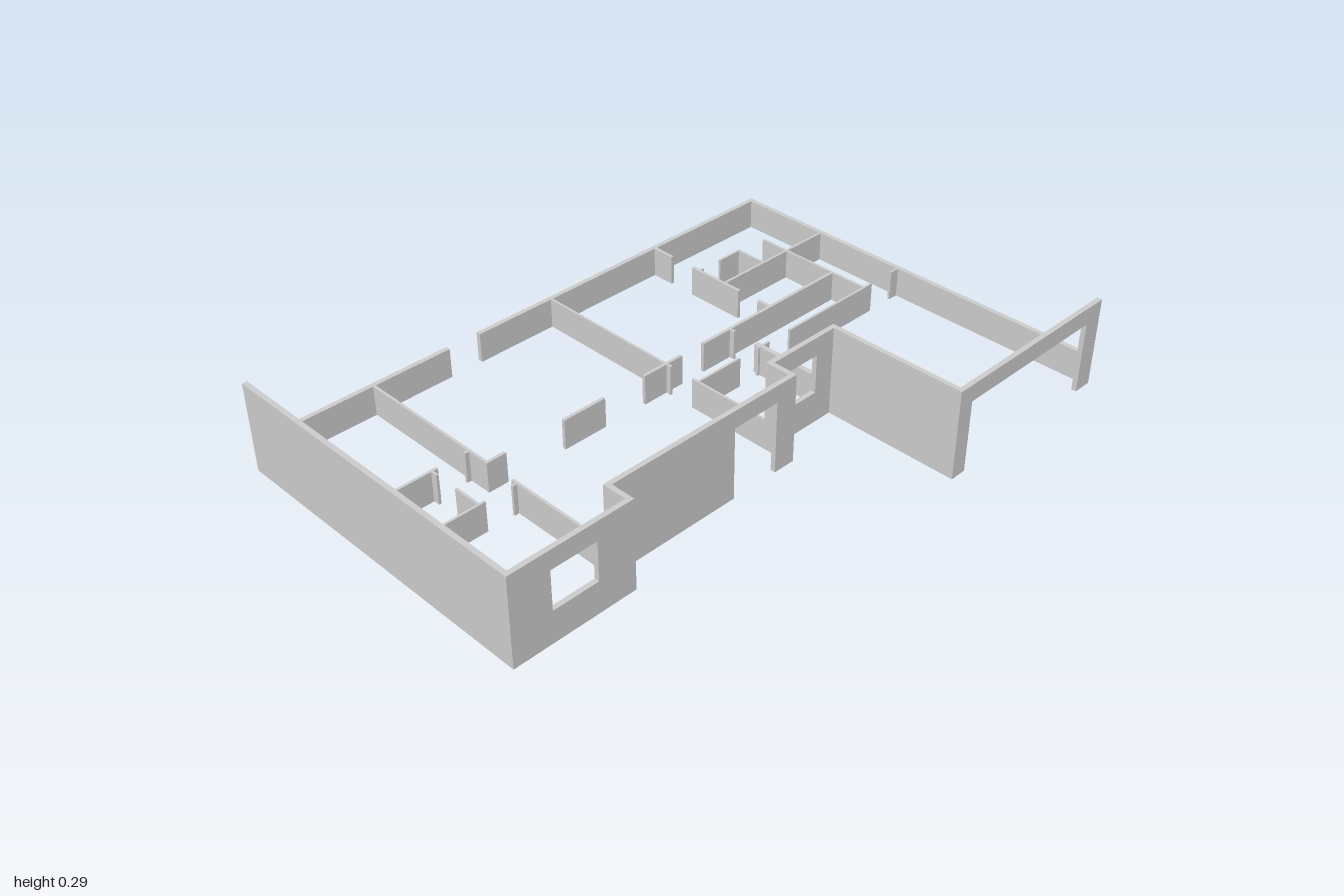
import * as THREE from 'three';

const TALL = 0.293, LOW = 0.1;   // full-height and cut-down walls
const T = 0.016;                 // outer wall thickness
const SILL = 0.104, HEAD = 0.236;
const mat = new THREE.MeshStandardMaterial({ color: 0xcccccc });

export function createModel() {
  const house = new THREE.Group();
  house.name = 'housePlan';

  const add = (name, geo) => {
    const mesh = new THREE.Mesh(geo, mat);
    mesh.name = name;
    house.add(mesh);
  };

  // Solid wall standing on the ground between two plan corners
  const wall = (name, x0, x1, z0, z1, h) => {
    const g = new THREE.BoxGeometry(x1 - x0, h, z1 - z0);
    g.translate((x0 + x1) / 2, h / 2, (z0 + z1) / 2);
    add(name, g);
  };

  // Full-height front wall with one opening; a sill of 0 makes a doorway
  const openWall = (name, x0, x1, zFront, o0, o1, sill) => {
    const pts = [[x0, 0]];
    if (!sill) pts.push([o0, 0], [o0, HEAD], [o1, HEAD], [o1, 0]);
    pts.push([x1, 0], [x1, TALL], [x0, TALL]);
    const shape = new THREE.Shape(pts.map(p => new THREE.Vector2(...p)));
    if (sill) {
      const hole = [[o0, sill], [o0, HEAD - 0.004], [o1, HEAD - 0.004], [o1, sill]];
      shape.holes.push(new THREE.Path(hole.map(p => new THREE.Vector2(...p))));
    }
    const g = new THREE.ExtrudeGeometry(shape, { depth: T, bevelEnabled: false });
    g.translate(0, 0, zFront - T);
    add(name, g);
  };

  // Front walls, stepping in and out
  openWall('bedroomFrontWall', -1, -0.595, 0.408, -0.869, -0.719, SILL);
  openWall('entryFrontWall', -0.595, 0.085, 0.328, -0.155, 0.01, 0);
  openWall('porchWindowWall', 0.085, 0.333, 0.246, 0.152, 0.265, SILL);
  openWall('garageFrontWall', 0.333, 1, 0.695, 0.388, 0.935, 0);

  // Full-height walls running front to back
  wall('leftOuterWall', -1, -1 + T, -0.695, 0.392, TALL);
  wall('bedroomReturnWall', -0.611, -0.595, 0.312, 0.392, TALL);
  wall('entryReturnWall', 0.069, 0.085, 0.23, 0.312, TALL);
  wall('garageSideWall', 0.333, 0.349, 0.23, 0.679, TALL);

  // Cut-down outer walls
  wall('rightOuterWall', 1 - T, 1, -0.695, 0.679, LOW);
  wall('backWallLeft', -1 + T, -0.33, -0.695, -0.679, LOW);
  wall('backWallRight', -0.215, 1 - T, -0.695, -0.679, LOW);
  wall('garageInnerWall', 0.333, 0.349, -0.055, 0.23, LOW);

  // Partitions along x: [z, thickness, [x start, x end], ...]
  const acrossWalls = [
    [-0.168, 0.011, [-0.609, -0.54], [-0.33, -0.175], [-0.018, 0.135], [0.226, 0.823]],
    [-0.035, 0.008, [0.07, 0.247], [0.325, 0.375], [0.466, 0.853], [0.95, 0.984]],
    [-0.243, 0.009, [-0.984, -0.715], [-0.623, -0.605]],
    [-0.04, 0.008, [-0.984, -0.715], [-0.623, -0.605]],
    [-0.366, 0.009, [0.525, 0.984]],
    [-0.477, 0.008, [0.525, 0.543], [0.618, 0.713]],
  ];
  for (const [z, t, ...spans] of acrossWalls)
    for (const [a, b] of spans) wall('crossPartition', a, b, z - t / 2, z + t / 2, LOW);

  // Partitions along z: [x, thickness, [z start, z end], ...]
  const lengthWalls = [
    [-0.604, 0.009, [-0.679, -0.163], [-0.06, 0.312]],
    [0.073, 0.008, [-0.679, -0.145], [-0.055, 0.23]],
    [0.343, 0.008, [-0.168, -0.145]],
    [0.525, 0.011, [-0.679, -0.6], [-0.505, -0.3], [-0.217, -0.168]],
    [0.709, 0.008, [-0.48, -0.366]],
    [0.819, 0.008, [-0.468, -0.035]],
    [-0.734, 0.008, [-0.243, -0.217], [-0.136, -0.04]],
  ];
  for (const [x, t, ...spans] of lengthWalls)
    for (const [a, b] of spans) wall('lengthPartition', x - t / 2, x + t / 2, a, b, LOW);

  return house;
}
